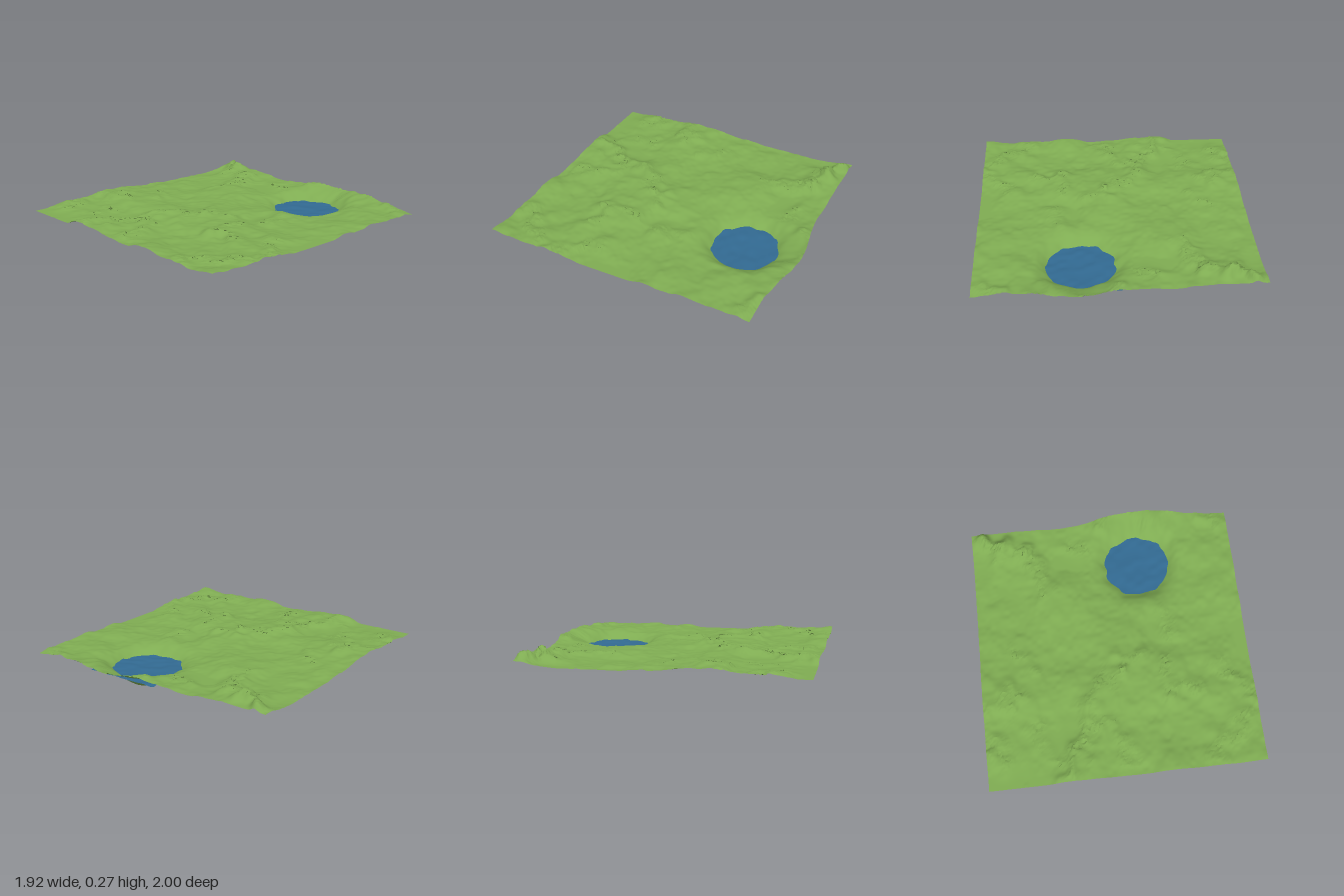
import * as THREE from 'three';

const HALF = 0.96, BACK = -0.93, FRONT = 1;
const LAKE = { x: 0.257, z: -0.595, radius: 0.236, level: 0.11 };

// Crags: x1, z1, x2, z2, width, height
const ridges = [
  [-0.82, -0.83, -0.79, -0.81, 0.05, 0.045],
  [-0.86, -0.82, -0.62, -0.72, 0.1, 0.028],
  [0.2, 0.13, 0.02, 0.18, 0.08, 0.016],
  [0.02, 0.2, -0.2, 0.48, 0.09, 0.018],
  [-0.2, 0.48, -0.38, 0.98, 0.09, 0.022],
  [-0.3, 0.75, -0.1, 0.6, 0.08, 0.014],
  [0.38, -0.2, 0.42, 0.02, 0.07, 0.016],
  [0.36, 0.22, 0.42, 0.44, 0.08, 0.02],
  [0.42, 0.44, 0.58, 0.42, 0.07, 0.016],
  [0.75, 0.3, 0.9, 0.48, 0.08, 0.018],
  [0.62, 0.95, 0.95, 0.62, 0.09, 0.018],
  [-0.92, 0.5, -0.68, 0.36, 0.09, 0.02],
  [-0.92, 0.66, -0.8, 0.8, 0.1, 0.02],
  [-0.57, -0.75, -0.43, -0.4, 0.07, 0.014],
  [-0.22, -0.78, -0.14, -0.72, 0.08, 0.018],
  [0.05, -0.92, 0.5, -0.9, 0.07, 0.016],
  [0.75, -0.9, 0.92, -0.82, 0.07, 0.014],
  [-0.06, 0.72, 0.03, 0.9, 0.08, 0.014],
  [-0.75, -0.02, -0.6, 0.14, 0.08, 0.014],
  [-0.65, 0.6, -0.52, 0.8, 0.08, 0.012]
];

function hash(i, j, seed) {
  const s = Math.sin(i * 127.1 + j * 311.7 + seed * 74.7) * 43758.5453;
  return s - Math.floor(s);
}

// Smooth value noise, 0..1
function noise(x, z, seed) {
  const i = Math.floor(x), j = Math.floor(z);
  const u = THREE.MathUtils.smootherstep(x - i, 0, 1);
  const v = THREE.MathUtils.smootherstep(z - j, 0, 1);
  const { lerp } = THREE.MathUtils;
  return lerp(
    lerp(hash(i, j, seed), hash(i + 1, j, seed), u),
    lerp(hash(i, j + 1, seed), hash(i + 1, j + 1, seed), u), v);
}

function fbm(x, z, seed) {
  let sum = 0, amp = 0.5, f = 1;
  for (let o = 0; o < 4; o++, amp *= 0.5, f *= 2.1) sum += amp * noise(x * f, z * f, seed + o);
  return sum;
}

function segmentDistance(x, z, [x1, z1, x2, z2]) {
  const dx = x2 - x1, dz = z2 - z1;
  const t = THREE.MathUtils.clamp(((x - x1) * dx + (z - z1) * dz) / (dx * dx + dz * dz), 0, 1);
  return Math.hypot(x - x1 - t * dx, z - z1 - t * dz);
}

// Rolling ground, crags and the lake basin; returns height and roughness
function ground(x, z) {
  let crag = 0, rough = 0;
  const wx = x + 0.12 * (noise(x * 9, z * 9, 31) - 0.5);
  const wz = z + 0.12 * (noise(x * 9, z * 9, 47) - 0.5);
  for (const r of ridges) {
    const g = Math.exp(-((segmentDistance(wx, wz, r) / r[4]) ** 2));
    crag += r[5] * g * (0.6 + 0.8 * noise(x * 16, z * 16, 5));
    rough = Math.max(rough, g);
  }
  const roll = fbm(x * 3 + 10, z * 3 + 10, 3);
  const land = 0.157 + 0.085 * Math.max(0, roll - 0.25) + crag;
  const shore = 1 + 0.08 * (noise(x * 14, z * 14, 12) - 0.5);
  const d = Math.hypot(x - LAKE.x, z - LAKE.z) / (LAKE.radius * shore);
  const basin = Math.exp(-(d ** 3));
  return { y: land * (1 - basin), rough: rough * (1 - basin) };
}

function createTerrain(material) {
  const n = 170;
  const geo = new THREE.PlaneGeometry(2 * HALF, FRONT - BACK, n, n);
  geo.rotateX(-Math.PI / 2);
  geo.translate(0, 0, (FRONT + BACK) / 2);
  const p = geo.attributes.position;
  for (let k = 0; k < p.count; k++) {
    const x = p.getX(k), z = p.getZ(k);
    const { y, rough } = ground(x, z);
    // Broken rock on the crags, held straight at the border
    const inside = Math.min(1, 8 * Math.min(HALF - Math.abs(x), FRONT - z, z - BACK));
    const broken = rough * rough * noise(x * 20, z * 20, 21);
    const jitter = broken * Math.max(0, inside) * 0.035;
    const jx = (hash(k, 1, 2) - 0.5) * jitter, jz = (hash(k, 3, 4) - 0.5) * jitter;
    // Back border swells outward behind the lake
    const across = THREE.MathUtils.clamp((x - 0.29) / 0.54, -1, 1);
    const swell = 0.07 * Math.cos(across * Math.PI / 2) ** 2
      * THREE.MathUtils.smoothstep(-z, 0.8, 0.93);
    p.setXYZ(k, x + jx, y + (hash(k, 5, 6) - 0.5) * broken * 0.016, z + jz - swell);
  }
  geo.computeVertexNormals();
  const mesh = new THREE.Mesh(geo, material);
  mesh.name = 'terrain';
  return mesh;
}

// Square water sheet cutting through the basin, with small ripples
function createWater(material) {
  const geo = new THREE.PlaneGeometry(0.55, 0.55, 24, 24);
  geo.rotateX(-Math.PI / 2);
  geo.translate(LAKE.x, LAKE.level, -0.578);
  const p = geo.attributes.position;
  for (let k = 0; k < p.count; k++) {
    p.setY(k, LAKE.level + (noise(p.getX(k) * 16, p.getZ(k) * 24, 9) - 0.5) * 0.011);
  }
  geo.computeVertexNormals();
  const mesh = new THREE.Mesh(geo, material);
  mesh.name = 'water';
  return mesh;
}

export function createModel() {
  const group = new THREE.Group();
  group.name = 'landscape';
  const grass = new THREE.MeshStandardMaterial({ color: 0x7fac52, side: THREE.DoubleSide });
  const blue = new THREE.MeshStandardMaterial({ color: 0x326a92, side: THREE.DoubleSide });
  group.add(createTerrain(grass), createWater(blue));
  return group;
}
